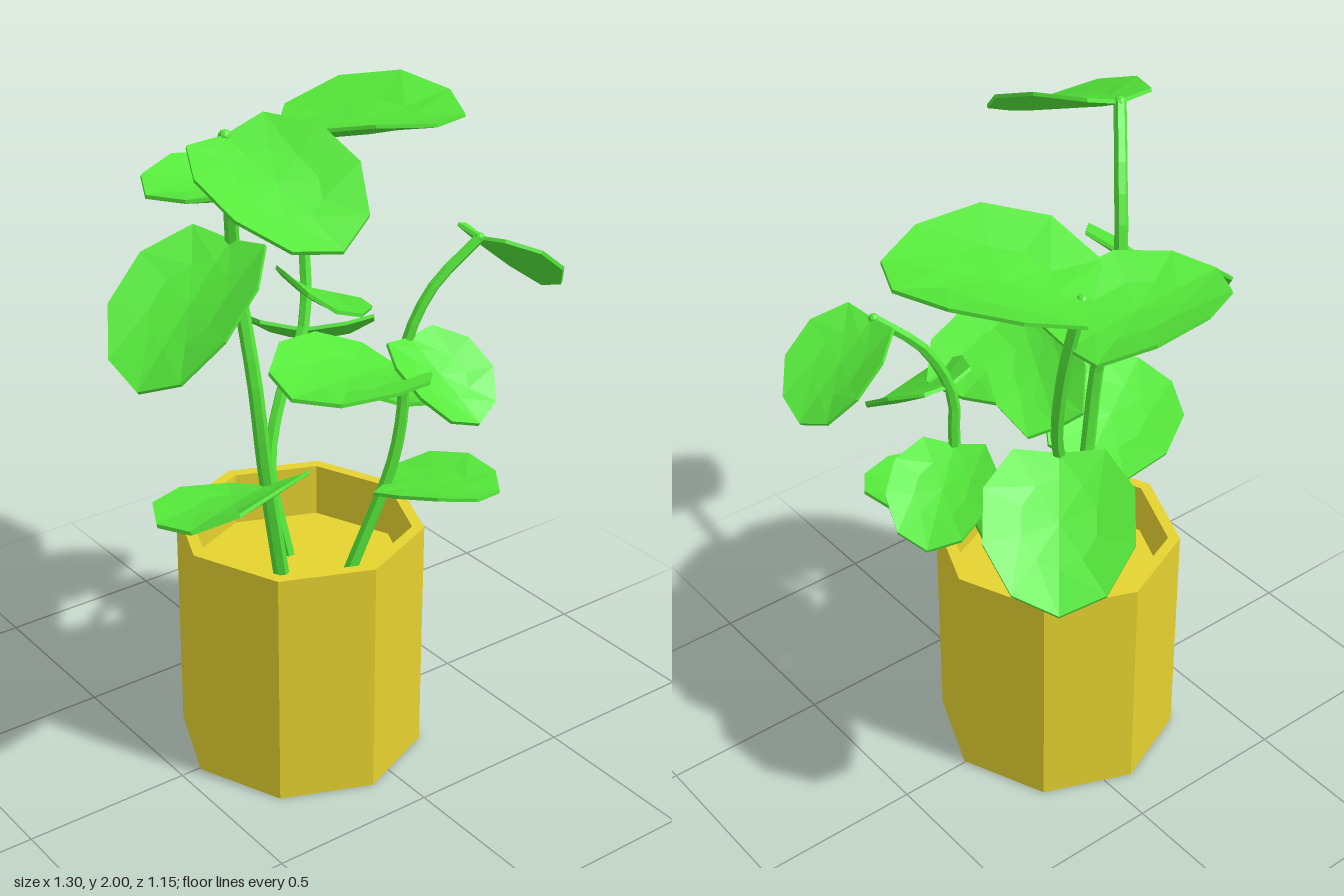
import * as THREE from 'three';

const green = new THREE.MeshStandardMaterial({ color: 0x55e83a, flatShading: true });
const ochre = new THREE.MeshStandardMaterial({ color: 0xe6d230, flatShading: true });

function lathe(profile, sides) {
  return new THREE.LatheGeometry(profile.map((p) => new THREE.Vector2(...p)), sides);
}

// Tapered stem along a curve, with a rounded end where the top leaf sits
function makeStem(curve, r0, r1) {
  const rows = 18, sides = 6;
  const geo = new THREE.TubeGeometry(curve, rows, 1, sides, false);
  const pos = geo.attributes.position, v = new THREE.Vector3();
  for (let i = 0; i < pos.count; i++) {
    const t = Math.floor(i / (sides + 1)) / rows;
    const c = curve.getPointAt(t);
    v.fromBufferAttribute(pos, i).sub(c).multiplyScalar(r0 + (r1 - r0) * t).add(c);
    pos.setXYZ(i, v.x, v.y, v.z);
  }
  geo.computeVertexNormals();
  const stem = new THREE.Mesh(geo, green);
  stem.name = 'stem';
  const end = new THREE.Mesh(new THREE.IcosahedronGeometry(r1, 1), green);
  end.name = 'stemEnd';
  end.position.copy(curve.getPoint(1));
  stem.add(end);
  return stem;
}

// Thin, cupped, slightly heart-shaped leaf; heading 0 points to +z, 90 to +x
function makeLeaf(base, heading, pitch, length, width, roll = 0, inset = 0) {
  const t = 0.009, cup = 0.13;
  const geo = lathe([[0, -t], [0.5, -t], [1, -t * 0.6], [1, t * 0.6], [0.5, t], [0, t]], 10);
  const pos = geo.attributes.position;
  for (let i = 0; i < pos.count; i++) {
    const x = pos.getX(i) / 0.95;
    const z = pos.getZ(i) < -0.9 ? -0.8 : pos.getZ(i); // notch at the stem
    pos.setXYZ(i, x * width / 2, pos.getY(i) + cup * width * x * x, (z + 0.8) / 1.8 * length - inset);
  }
  geo.computeVertexNormals();
  const leaf = new THREE.Mesh(geo, green);
  leaf.name = 'leaf';
  leaf.position.copy(base);
  const rad = THREE.MathUtils.degToRad;
  leaf.rotation.set(-rad(pitch), rad(heading), rad(roll), 'YXZ');
  return leaf;
}

// One stem with its leaves: [place on stem 0..1, heading, pitch, length, width, roll, inset]
function makeShoot(name, r0, r1, path, leaves) {
  const shoot = new THREE.Group();
  shoot.name = name;
  const curve = new THREE.CatmullRomCurve3(path.map((p) => new THREE.Vector3(...p)));
  shoot.add(makeStem(curve, r0, r1));
  for (const [place, ...shape] of leaves) shoot.add(makeLeaf(curve.getPoint(place), ...shape));
  return shoot;
}

export function createModel() {
  const model = new THREE.Group();
  model.name = 'pottedPlant';

  // Octagonal pot, hollow down to the soil
  const pot = new THREE.Mesh(
    lathe([[0, 0], [0.36, 0], [0.36, 0.72], [0.325, 0.72], [0.325, 0.56], [0, 0.56]], 8), ochre);
  pot.name = 'pot';
  pot.position.set(-0.08, 0, 0.005);
  model.add(pot);

  model.add(makeShoot('rightShoot', 0.023, 0.018,
    [[-0.14, 0.55, 0], [-0.222, 0.95, 0.04], [-0.25, 1.2, 0.04],
      [-0.265, 1.57, -0.03], [-0.305, 1.77, 0.02], [-0.39, 1.955, 0.13]],
    [[1, 5, -22, 0.475, 0.38, 11], [0.63, -74, -38, 0.49, 0.4], [0.16, -60, 11, 0.475, 0.4, 18]]));

  model.add(makeShoot('backShoot', 0.02, 0.017,
    [[-0.06, 0.55, -0.075], [-0.085, 0.84, -0.13], [0, 1.06, -0.175],
      [0.09, 1.2, -0.205], [0.133, 1.48, -0.27], [0.12, 1.75, -0.33]],
    [[1, 44, 8, 0.535, 0.515, 0, 0.025], [0.88, -93, 8, 0.49, 0.4],
      [0.68, -25, 14, 0.45, 0.26, -25], [0.59, 141, -27, 0.475, 0.4]]));

  model.add(makeShoot('frontShoot', 0.02, 0.015,
    [[0.03, 0.55, 0.1], [0.15, 0.9, 0.145], [0.178, 1.08, 0.15],
      [0.178, 1.23, 0.15], [0.25, 1.4, 0.17], [0.385, 1.535, 0.21]],
    [[1, 96, -38, 0.34, 0.29], [0.64, 8, -32, 0.32, 0.29], [0.55, -73, 9, 0.475, 0.39, -6, -0.04],
      [0.38, 130, -19, 0.36, 0.29], [0.15, 33, 7, 0.34, 0.29]]));

  return model;
}
